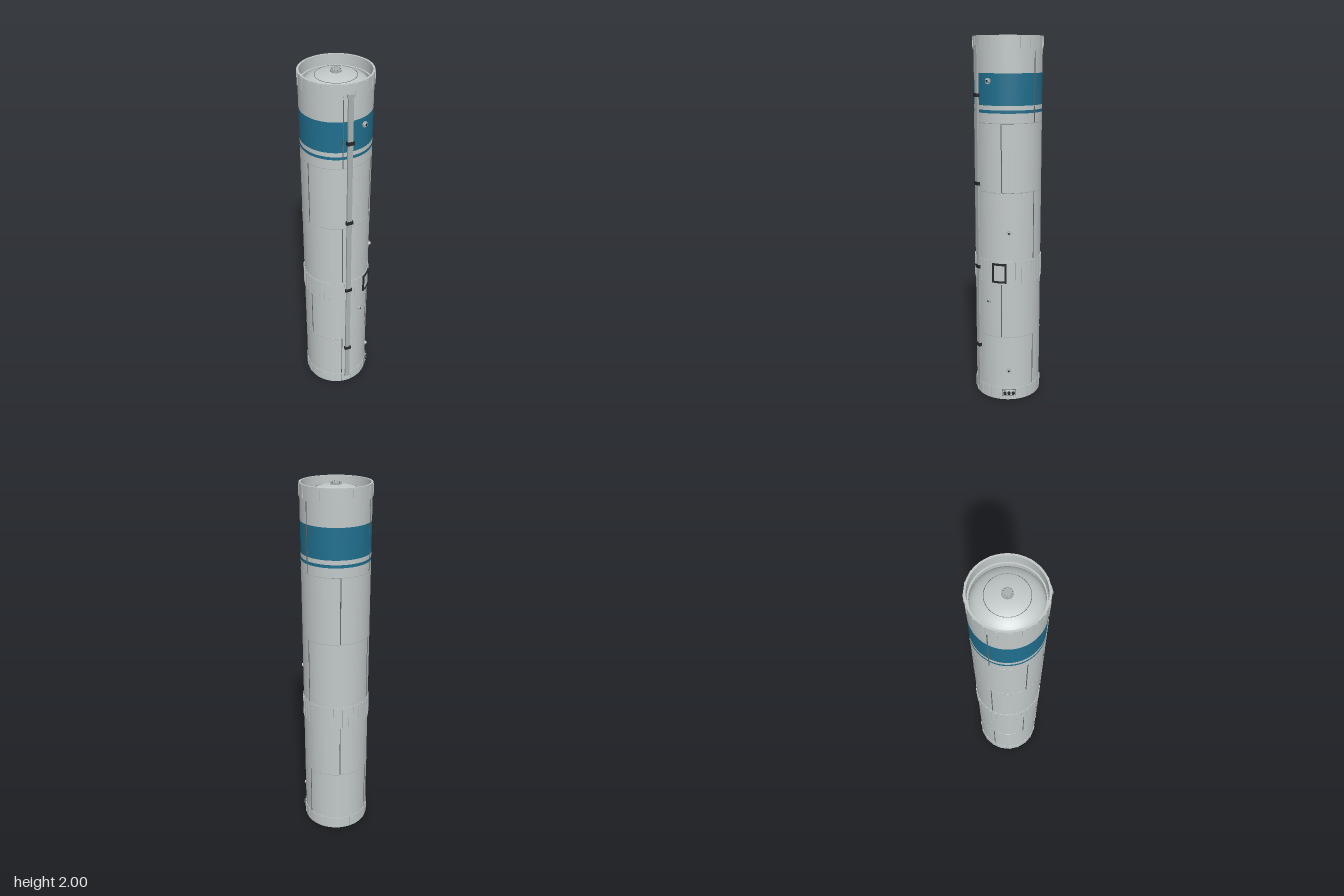
import * as THREE from 'three';
import { mergeGeometries } from 'three/addons/utils/BufferGeometryUtils.js';

const mat = (name, color) => {
  const m = new THREE.MeshStandardMaterial({ color });
  m.name = name;
  return m;
};
const RAD = Math.PI / 180;
const R = 0.182; // tank skin radius
const SEG = 72;

export function createModel() {
  const shell = mat('light grey shell', 0xc2c8c8);
  const trim = mat('mid grey trim', 0xa9afb0);
  const blue = mat('blue paint', 0x206f8e);
  const seamMat = mat('seam grey', 0x626869);
  const dark = mat('dark fittings', 0x25292c);

  const model = new THREE.Group();
  model.name = 'rocketStage';
  const stage = new THREE.Group();
  stage.name = 'stage';
  stage.position.z = -0.006; // raceway sticks out in front
  model.add(stage);

  const add = (name, geo, material, parent = stage) => {
    const mesh = new THREE.Mesh(geo, material);
    mesh.name = name;
    parent.add(mesh);
    return mesh;
  };

  // Turned part with sharp corners: one lathe per profile segment
  const turned = (pts) => mergeGeometries(pts.slice(1).map((p, i) =>
    new THREE.LatheGeometry([new THREE.Vector2(...pts[i]), new THREE.Vector2(...p)], SEG)));

  // Curved block hugging the tank; angles in degrees from +z towards +x
  const arcBlock = (r0, r1, a0, a1, y0, y1) => {
    const n = Math.max(1, Math.ceil((a1 - a0) / 5));
    const pts = [];
    const point = (r, a) => pts.push(new THREE.Vector2(r * Math.sin(a * RAD), -r * Math.cos(a * RAD)));
    for (let i = 0; i <= n; i++) point(r1, a0 + (a1 - a0) * i / n);
    for (let i = n; i >= 0; i--) point(r0, a0 + (a1 - a0) * i / n);
    const geo = new THREE.ExtrudeGeometry(new THREE.Shape(pts), { depth: y1 - y0, bevelEnabled: false });
    return geo.rotateX(-Math.PI / 2).translate(0, y0, 0);
  };

  // Group turned to face outwards at an angle around the tank
  const mount = (name, angle, y) => {
    const g = new THREE.Group();
    g.name = name;
    g.rotation.y = angle * RAD;
    g.position.y = y;
    stage.add(g);
    return g;
  };

  // Disc or stub pointing outwards along z
  const stub = (r, z0, z1, x = 0, n = 20) =>
    new THREE.CylinderGeometry(r, r, z1 - z0, n).rotateX(Math.PI / 2).translate(x, 0, (z0 + z1) / 2);

  // Tank skin, split into painted bands
  [
    ['lowerTank', 0.07, 0.69, shell], ['upperTank', 0.82, 1.613, shell],
    ['thinStripe', 1.613, 1.629, blue], ['stripeGap', 1.629, 1.652, shell],
    ['wideStripe', 1.652, 1.814, blue], ['topTank', 1.814, 1.935, shell],
  ].forEach(([name, y0, y1, m]) => add(name, turned([[R, y0], [R, y1]]), m));

  // End rings with hollow rims, and the middle ring
  add('topRing', turned([[R, 1.93], [0.184, 1.93], [0.184, 2], [0.174, 2], [0.174, 1.945],
    [0.166, 1.945], [0.166, 1.9]]), shell);
  add('bottomRing', turned([[0.166, 0.1], [0.166, 0.055], [0.174, 0.055], [0.174, 0], [0.184, 0],
    [0.184, 0.072], [R, 0.072]]), shell);
  add('middleRing', turned([[R, 0.69], [0.184, 0.69], [0.184, 0.823], [R, 0.823]]), shell);

  // Domed ends with a seam ring and a bolted cap
  const domeHeight = 0.08;
  for (const [name, apex, s] of [['top', 1.988, 1], ['bottom', 0.033, -1]]) {
    const pts = [];
    for (let i = 0; i <= 14; i++) {
      const t = i / 14 * Math.PI / 2;
      pts.push(new THREE.Vector2(Math.max(0.168 * Math.cos(t), 0), apex - s * domeHeight * (1 - Math.sin(t))));
    }
    if (s < 0) pts.reverse();
    add(name + 'Dome', new THREE.LatheGeometry(pts, SEG), shell);
    const drop = domeHeight * (1 - Math.sqrt(1 - (0.102 / 0.168) ** 2));
    add(name + 'DomeSeam', new THREE.TorusGeometry(0.102, 0.0012, 6, SEG).rotateX(Math.PI / 2)
      .translate(0, apex - s * drop, 0), seamMat);
    add(name + 'DomeCap', new THREE.CylinderGeometry(0.027, 0.027, 0.014, 32)
      .translate(0, apex + s * 0.002, 0), trim);
    const bolts = [];
    for (let i = 0; i < 10; i++) {
      const a = i / 10 * Math.PI * 2;
      bolts.push(new THREE.CylinderGeometry(0.002, 0.002, 0.002, 8)
        .translate(0.021 * Math.sin(a), apex + s * 0.01, 0.021 * Math.cos(a)));
    }
    add(name + 'CapBolts', mergeGeometries(bolts), seamMat);
  }

  // Raised stiffeners around the three rings, leaving room for fittings
  const stiffeners = (name, count, y0, y1, gaps) => {
    const geos = [];
    for (let i = 0; i < count; i++) {
      const a = (i + 0.5) * 360 / count;
      if (gaps.some(([g0, g1]) => a > g0 && a < g1)) continue;
      geos.push(arcBlock(0.18, 0.187, a - 1.9, a + 1.9, y0, y1));
    }
    add(name, mergeGeometries(geos), shell);
  };
  stiffeners('topStiffeners', 20, 1.935, 1.995, []);
  stiffeners('middleStiffeners', 36, 0.695, 0.818, [[29, 61]]);
  stiffeners('bottomStiffeners', 20, 0.005, 0.068, [[47, 77]]);

  // Weld seams around the tank
  for (const y of [0.38, 1.199, 1.562]) {
    add('ringWeld', turned([[R, y - 0.002], [R + 0.001, y - 0.0015], [R + 0.001, y + 0.0015], [R, y + 0.002]]), trim);
  }

  // Lengthwise seams, staggered from one bay to the next
  [
    [0.075, 0.38, -11], [0.38, 0.69, 49], [0.825, 1.199, -11], [1.199, 1.562, 49], [1.562, 1.925, -11],
  ].forEach(([y0, y1, start]) => {
    for (let k = 0; k < 3; k++) {
      const a = start + k * 120;
      add('panelSeam', arcBlock(0.179, R + 0.0008, a - 0.8, a + 0.8, y0, y1), seamMat);
    }
  });

  // Cable raceway down the front, with end caps and clamps
  const block = (name, w, y0, y1, z0, z1, m) =>
    add(name, new THREE.BoxGeometry(w, y1 - y0, z1 - z0).translate(-0.002, (y0 + y1) / 2, (z0 + z1) / 2), m);
  block('raceway', 0.026, 0.06, 1.945, 0.176, 0.193, trim);
  block('racewayTopCap', 0.034, 1.935, 1.952, 0.171, 0.195, trim);
  block('racewayBottomCap', 0.034, 0.052, 0.069, 0.171, 0.195, trim);
  for (const y of [0.302, 0.77, 1.236, 1.702]) {
    block('racewayClamp', 0.038, y - 0.009, y + 0.009, 0.176, 0.198, dark);
  }

  // Access hatch with a dark frame
  add('hatchPanel', arcBlock(0.18, 0.187, 34, 56, 0.71, 0.8), shell);
  add('hatchFrame', mergeGeometries([
    arcBlock(0.18, 0.19, 32.5, 36, 0.7, 0.81), arcBlock(0.18, 0.19, 54, 57.5, 0.7, 0.81),
    arcBlock(0.18, 0.19, 36, 54, 0.7, 0.711), arcBlock(0.18, 0.19, 36, 54, 0.799, 0.81),
  ]), dark);

  // Small vent ports
  [[26, 1.775, 0.016], [61.5, 0.982, 0.013], [25, 0.587, 0.012], [61.5, 0.18, 0.013]].forEach(([a, y, r]) => {
    const g = mount('ventPort', a, y);
    add('portFlange', stub(r, 0.176, 0.187), trim, g);
    add('portNeck', stub(r * 0.65, 0.18, 0.193), shell, g);
    add('portOpening', stub(r * 0.42, 0.185, 0.194), dark, g);
  });

  // Connector plate with three sockets
  const plate = mount('connectorPlate', 62, 0.043);
  add('plateBacking', new THREE.BoxGeometry(0.078, 0.038, 0.012).translate(0, 0, 0.182), seamMat, plate);
  add('plateFace', new THREE.BoxGeometry(0.073, 0.033, 0.012).translate(0, 0, 0.183), shell, plate);
  for (const x of [-0.024, 0, 0.024]) add('socket', stub(0.009, 0.182, 0.197, x), dark, plate);

  return model;
}
